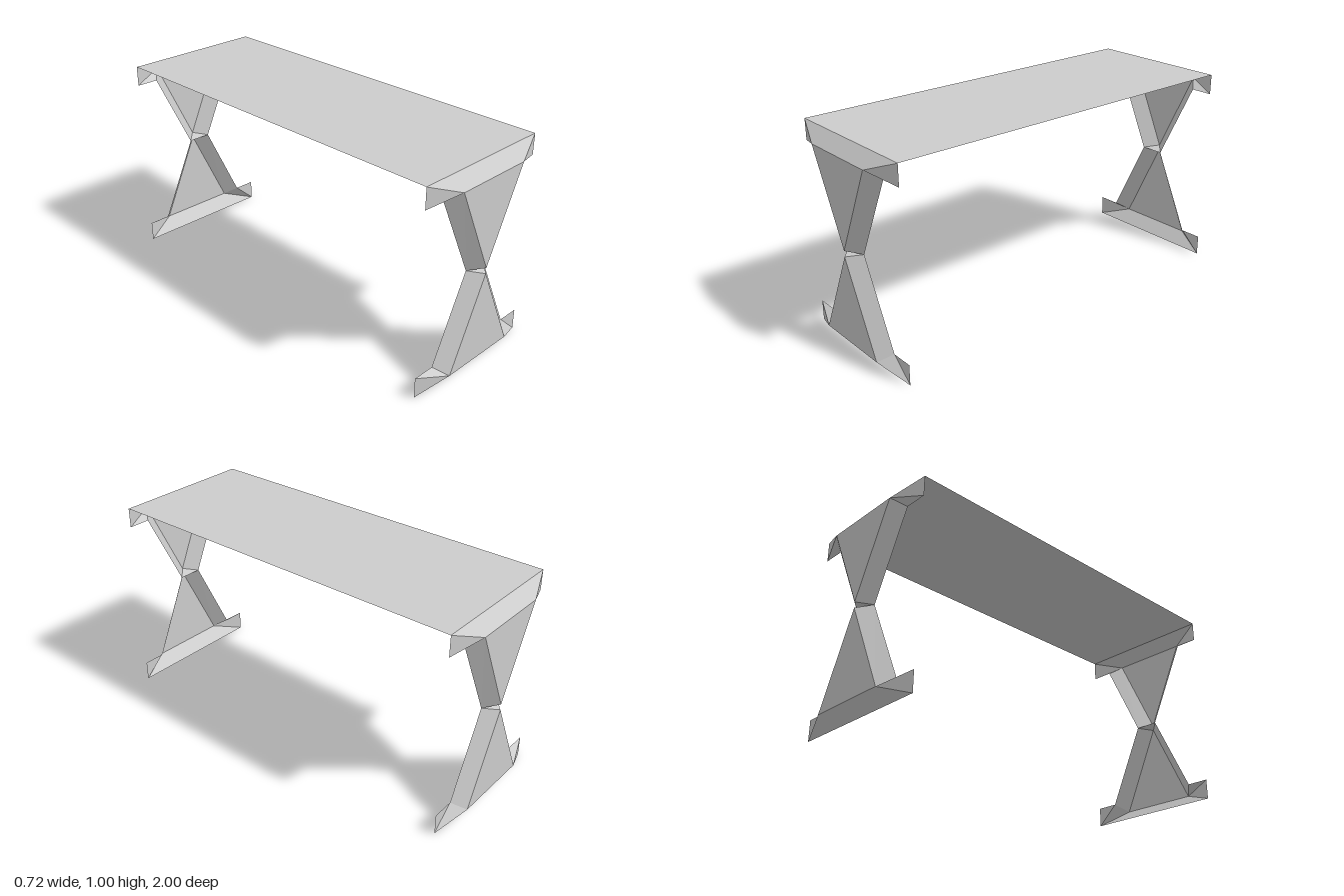
import * as THREE from 'three';

const INNER = 0.94; // z of the trestle outline
const OUTER = 1.0;  // z of the raised panel

// Corners of the +x side of one trestle half; y is the height above or below the waist
const P = {
  rim: [0.36, 0.5, INNER],
  ear: [0.36, 0.4, INNER],
  notch: [0.25, 0.4, INNER],
  waist: [0.06, 0, INNER],
  panel: [0.2, 0.44, OUTER],
  tip: [0, 0.014, OUTER],
};
const mirror = ([x, y, z]) => [-x, y, z];

// Flat-shaded mesh from convex polygons, each wound to face outward along z
function facets(name, polygons, material, flipY, flipZ) {
  const pos = [];
  for (const poly of polygons) {
    for (let i = 1; i < poly.length - 1; i++) {
      const [a, b, c] = [poly[0], poly[i], poly[i + 1]].map(
        ([x, y, z]) => new THREE.Vector3(x, 0.5 + y * flipY, z * flipZ));
      const nz = b.clone().sub(a).cross(c.clone().sub(a)).z;
      const tri = nz * flipZ >= 0 ? [a, b, c] : [a, c, b];
      tri.forEach((v) => pos.push(v.x, v.y, v.z));
    }
  }
  const geo = new THREE.BufferGeometry();
  geo.setAttribute('position', new THREE.Float32BufferAttribute(pos, 3));
  geo.computeVertexNormals();
  const mesh = new THREE.Mesh(geo, material);
  mesh.name = name;
  return mesh;
}

// One half of a trestle: panel, bevels and the two ears
function trestleHalf(name, material, flipY, flipZ) {
  const group = new THREE.Group();
  group.name = name;
  const { rim, ear, notch, waist, panel, tip } = P;
  const add = (part, polys) => group.add(facets(part, polys, material, flipY, flipZ));

  add('panel', [[panel, mirror(panel), tip]]);
  add('rimBevel', [[rim, mirror(rim), mirror(panel), panel]]);
  add('waistBevel', [[tip, waist, mirror(waist)]]);

  const strip = [panel, notch, waist, tip];
  add('leftLegBevel', [strip]);
  add('rightLegBevel', [strip.map(mirror)]);

  // Ears fold out to the panel corner; the lower left one is flat
  const folded = [[rim, ear, panel], [ear, notch, panel]];
  const flat = [[rim, ear, notch], [rim, notch, panel]];
  add('leftEar', flipY < 0 ? flat : folded);
  add('rightEar', folded.map((f) => f.map(mirror)));
  return group;
}

export function createModel() {
  const model = new THREE.Group();
  model.name = 'trestleTable';
  const grey = new THREE.MeshStandardMaterial({ color: 0xcccccc });
  grey.name = 'light grey';
  grey.flatShading = true;
  grey.side = THREE.DoubleSide;

  // Thin table top
  const top = new THREE.Mesh(new THREE.PlaneGeometry(0.72, INNER * 2), grey);
  top.name = 'tableTop';
  top.rotation.x = -Math.PI / 2;
  top.position.y = 1;
  model.add(top);

  // Trestles at both ends
  for (const [name, z] of [['frontTrestle', 1], ['backTrestle', -1]]) {
    const trestle = new THREE.Group();
    trestle.name = name;
    trestle.add(trestleHalf('upperHalf', grey, 1, z), trestleHalf('lowerHalf', grey, -1, z));
    model.add(trestle);
  }
  return model;
}
